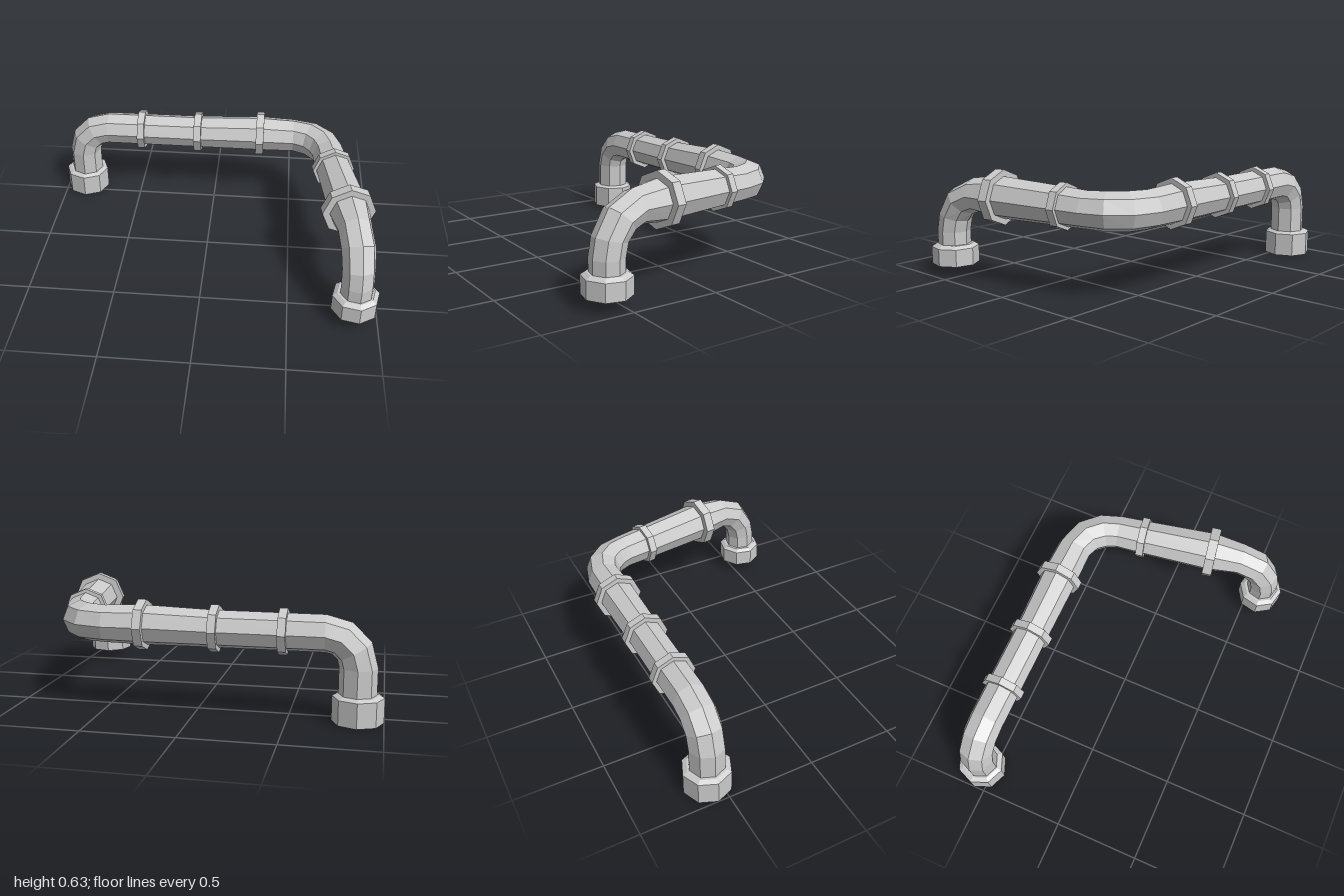
import * as THREE from 'three';

const SIDES = 8;
const RAD = Math.PI / 180;
const material = new THREE.MeshStandardMaterial({ color: 0xcccccc, flatShading: true });

// Octagonal loft; each station is [x, y, z, radius, yaw, pitch] (degrees), yaw 0 heading along +x
function loft(name, stations) {
  const pos = [], index = [];
  for (const [x, y, z, r, yaw, pitch] of stations) {
    const a = yaw * RAD, p = pitch * RAD;
    const side = new THREE.Vector3(-Math.sin(a), 0, Math.cos(a));
    const up = new THREE.Vector3(-Math.cos(a) * Math.sin(p), Math.cos(p), -Math.sin(a) * Math.sin(p));
    for (let j = 0; j < SIDES; j++) {
      const f = (j / SIDES) * Math.PI * 2;
      const v = new THREE.Vector3(x, y, z)
        .addScaledVector(up, r * Math.cos(f))
        .addScaledVector(side, r * Math.sin(f));
      pos.push(v.x, v.y, v.z);
    }
  }
  const last = stations.length - 1;
  const startCentre = pos.length / 3, endCentre = startCentre + 1;
  pos.push(...stations[0].slice(0, 3), ...stations[last].slice(0, 3));
  for (let j = 0; j < SIDES; j++) {
    const k = (j + 1) % SIDES;
    for (let i = 0; i < last; i++) {
      const a = i * SIDES + j, b = i * SIDES + k, c = a + SIDES, d = b + SIDES;
      index.push(a, b, d);
      if (stations[i + 1][3] > 0) index.push(a, d, c);
    }
    index.push(startCentre, k, j);
    if (stations[last][3] > 0) index.push(endCentre, last * SIDES + j, last * SIDES + k);
  }
  const geometry = new THREE.BufferGeometry();
  geometry.setAttribute('position', new THREE.Float32BufferAttribute(pos, 3));
  geometry.setIndex(index);
  const flat = geometry.toNonIndexed();
  flat.computeVertexNormals();
  const mesh = new THREE.Mesh(flat, material);
  mesh.name = name;
  return mesh;
}

// Flat coupling ring around a level stretch of pipe
function coupling(name, x, y, z, r, yaw, width) {
  const dx = Math.cos(yaw * RAD) * width / 2, dz = Math.sin(yaw * RAD) * width / 2;
  return loft(name, [[x - dx, y, z - dz, r, yaw, 0], [x + dx, y, z + dz, r, yaw, 0]]);
}

export function createModel() {
  const group = new THREE.Group();
  group.name = 'bentPipe';
  const yaw = 80.5;

  // First leg and its quarter bend
  const path = [[-0.86, 0.1, -0.56, 0.1, 0, 90]];
  for (const a of [0, 30, 60, 90]) {
    path.push([
      -0.69 - 0.17 * Math.cos(a * RAD), 0.29 + 0.17 * Math.sin(a * RAD), -0.56, 0.1, 0, 90 - a,
    ]);
  }
  path.push(
    // Long straight run
    [-0.1, 0.461, -0.56, 0.101, 0, 0],
    [0.29, 0.468, -0.563, 0.109, 0, 0],
    // Sideways corner
    [0.5, 0.465, -0.562, 0.103, 0, 0],
    [0.61, 0.465, -0.527, 0.105, 27, 0],
    [0.685, 0.466, -0.447, 0.104, 54, 0],
    [0.72, 0.467, -0.353, 0.1, yaw, 0],
    // Short run, swelling at the last coupling
    [0.743, 0.47, -0.205, 0.105, yaw, 0],
    [0.815, 0.478, 0.22, 0.117, yaw, 0],
    // Downward bend and second leg
    [0.843, 0.474, 0.395, 0.095, yaw, -10],
    [0.86, 0.43, 0.495, 0.095, yaw, -45],
    [0.868, 0.34, 0.555, 0.092, yaw, -76],
    [0.871, 0.255, 0.572, 0.092, yaw, -90],
    [0.871, 0.1, 0.572, 0.092, yaw, -90],
  );
  group.add(loft('pipe', path));

  // Coupling rings
  group.add(
    coupling('outerCoupling', -0.47, 0.46, -0.56, 0.125, 0, 0.044),
    coupling('middleCoupling', -0.107, 0.462, -0.56, 0.128, 0, 0.045),
    coupling('innerCoupling', 0.29, 0.468, -0.563, 0.138, 0, 0.048),
    coupling('cornerCoupling', 0.742, 0.47, -0.202, 0.125, yaw, 0.045),
    coupling('frontCoupling', 0.812, 0.478, 0.22, 0.152, yaw, 0.057),
  );

  // Flat foot under the first leg
  group.add(loft('backFoot', [
    [-0.864, 0, -0.563, 0.136, 0, 90],
    [-0.864, 0.135, -0.563, 0.136, 0, 90],
    [-0.864, 0.147, -0.563, 0.11, 0, 90],
  ]));

  // Foot with a shallow pointed underside below the second leg
  group.add(loft('frontFoot', [
    [0.869, 0.182, 0.57, 0.106, yaw, -90],
    [0.869, 0.165, 0.57, 0.132, yaw, -90],
    [0.869, 0.067, 0.57, 0.132, yaw, -90],
    [0.869, 0.03, 0.57, 0, yaw, -90],
  ]));

  return group;
}
